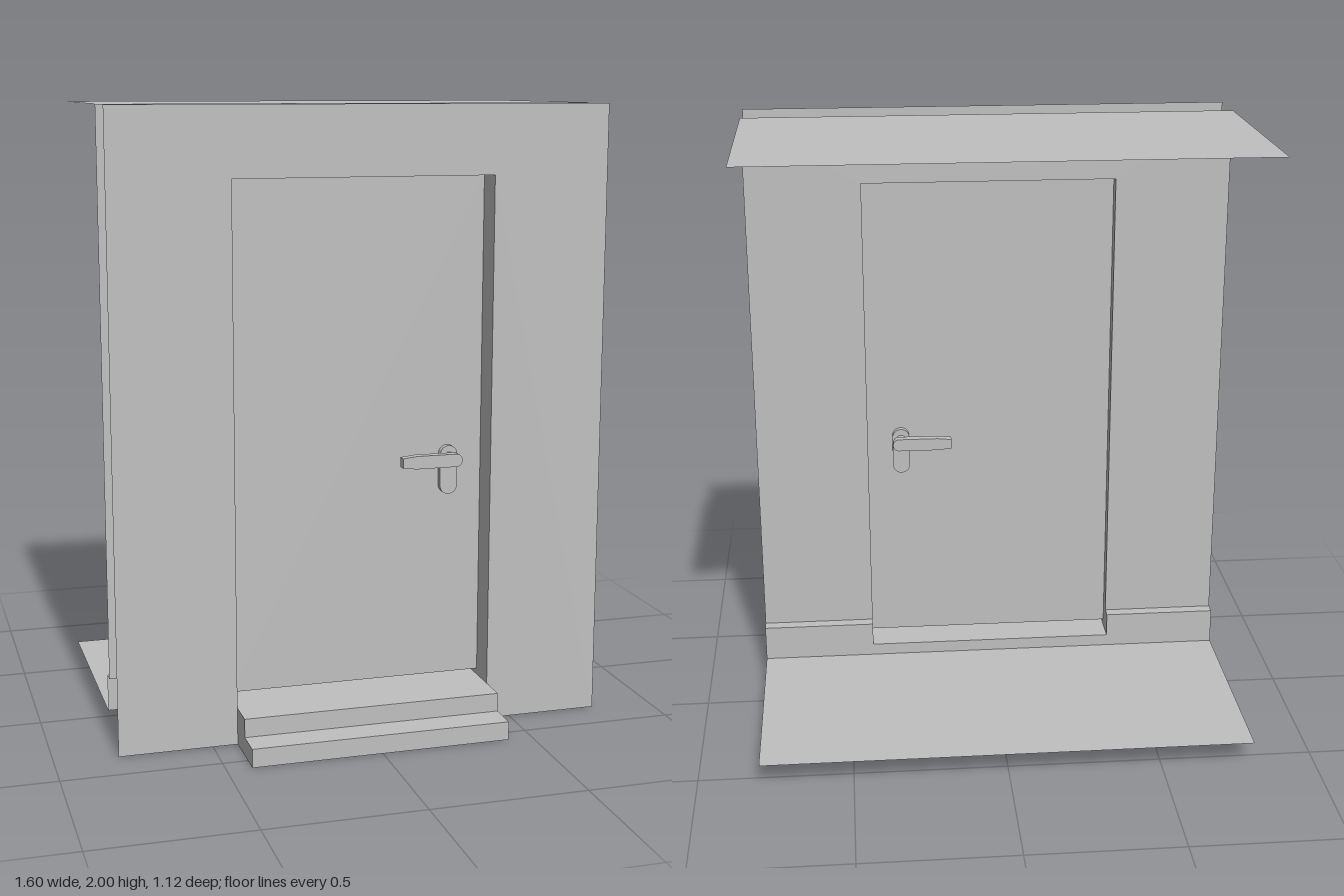
import * as THREE from 'three';

const W = 0.8, D = 0.42;            // half widths of the wall and the doorway
const OUT = 0.36, IN = 0.2;         // z of the outer and inner wall faces
const HEAD = 1.78, SILL = 0.12, FLOOR = 0.08;

export function createModel() {
  const root = new THREE.Group();
  root.name = 'doorway';
  const grey = new THREE.MeshStandardMaterial({ color: 0xc0c0c0, side: THREE.DoubleSide });
  grey.name = 'plain grey';

  const add = (name, geometry, parent = root) => {
    const mesh = new THREE.Mesh(geometry, grey);
    mesh.name = name;
    parent.add(mesh);
    return mesh;
  };
  const polygon = (pts) => new THREE.Shape(pts.map(([x, y]) => new THREE.Vector2(x, y)));

  // Folded sheet: a (z, y) section swept from x0 to x1
  const strip = (section, x0 = -W, x1 = W) => {
    const pos = [];
    for (let i = 0; i + 1 < section.length; i++) {
      const [z0, y0] = section[i], [z1, y1] = section[i + 1];
      pos.push(x0, y0, z0, x1, y0, z0, x1, y1, z1, x0, y0, z0, x1, y1, z1, x0, y1, z1);
    }
    const g = new THREE.BufferGeometry();
    g.setAttribute('position', new THREE.Float32BufferAttribute(pos, 3));
    g.computeVertexNormals();
    return g;
  };
  // Flat side face: a (z, y) outline standing at x, facing +x or -x
  const sideFace = (outline, x, facing) => {
    const turn = facing > 0 ? Math.PI / 2 : -Math.PI / 2;
    const pts = outline.map(([z, y]) => [-facing * z, y]);
    return new THREE.ShapeGeometry(polygon(pts)).rotateY(turn).translate(x, 0, 0);
  };
  // Wall sheet with the doorway cut out down to its foot
  const wall = (foot) => new THREE.ShapeGeometry(polygon([
    [-W, foot], [-D, foot], [-D, HEAD], [D, HEAD], [D, foot], [W, foot], [W, 2], [-W, 2],
  ]));

  // Walls, ceiling and floor
  add('outerWall', wall(0).translate(0, 0, OUT));
  add('innerWall', wall(0.2).rotateY(Math.PI).translate(0, 0, IN));
  add('ceiling', strip([[IN, 2], [-0.56, 2]]));
  add('floor', strip([[0.16, FLOOR], [-0.56, FLOOR]]));

  // Doorway lining
  add('doorHead', strip([[IN, HEAD], [OUT, HEAD]], -D, D));
  add('threshold', strip([[OUT, SILL], [0.16, SILL], [0.16, FLOOR]], -D, D));
  const jamb = [[OUT, SILL], [OUT, HEAD], [IN, HEAD], [IN, 0.2], [0.16, 0.2], [0.16, SILL]];
  const stepSection = [[0.56, 0], [0.56, 0.06], [0.46, 0.06], [0.46, SILL], [OUT, SILL]];
  for (const s of [-1, 1]) {
    const side = s > 0 ? 'left' : 'right';
    add(side + 'Jamb', sideFace(jamb, s * D, -s));
    add(side + 'Baseboard', strip([[IN, 0.2], [0.16, 0.2], [0.16, FLOOR]],
      s > 0 ? D : -W, s > 0 ? W : -D));
    add(side + 'StepSide', sideFace([...stepSection, [OUT, 0]], s * D, s));
  }
  // Entrance steps, open underneath
  add('steps', strip(stepSection, -D, D));

  // Door leaf with a gap below it
  const doorZ = 0.255, doorT = 0.02;
  add('doorLeaf', new THREE.BoxGeometry(2 * D, HEAD - 0.14, doorT)
    .translate(0, (HEAD + 0.14) / 2, doorZ));

  // Handle on each face of the door
  const slab = (shape, depth) => new THREE.ExtrudeGeometry(shape,
    { depth, bevelEnabled: false, curveSegments: 12 }).translate(0, 0, -depth / 2);
  const plate = new THREE.Shape();
  plate.absarc(0, 0.052, 0.029, 0, Math.PI);
  plate.absarc(0, -0.05, 0.029, Math.PI, 2 * Math.PI);
  plate.closePath();
  const lever = new THREE.Shape();
  lever.moveTo(-0.172, -0.016);
  lever.lineTo(-0.125, -0.021);
  lever.lineTo(0.008, -0.021);
  lever.absarc(0.008, 0, 0.021, -Math.PI / 2, Math.PI / 2);
  lever.lineTo(-0.125, 0.021);
  lever.lineTo(-0.172, 0.016);
  lever.closePath();
  for (const s of [-1, 1]) {
    const handle = new THREE.Group();
    handle.name = s > 0 ? 'outerHandle' : 'innerHandle';
    handle.position.set(0.305, 0.83, doorZ);
    add('handlePlate', slab(plate, 0.02), handle).position.z = s * 0.02;
    add('spindle', new THREE.CylinderGeometry(0.018, 0.018, 0.03, 20).rotateX(Math.PI / 2)
      .translate(0, 0.042, s * 0.043), handle);
    add('lever', slab(lever, 0.028), handle).position.set(0, 0.042, s * 0.068);
    root.add(handle);
  }
  return root;
}
